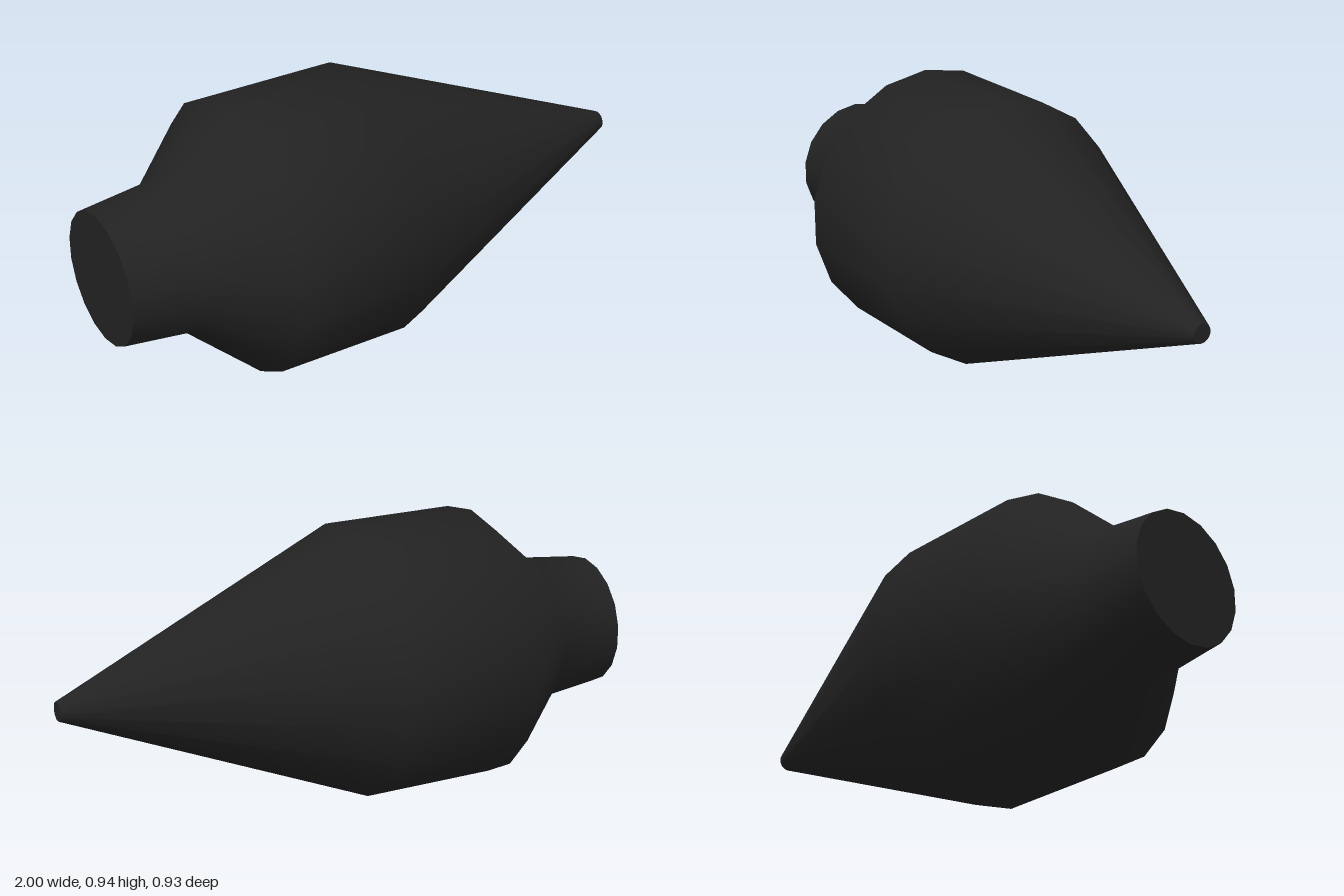
import * as THREE from 'three';

const SIDES = 18;
const AXIS_HEIGHT = 0.472;

// [radius, position along x] from the rear collar to the tip
const PROFILE = [
  [0.228, -1],
  [0.255, -0.76],
  [0.472, -0.52],
  [0.472, -0.04],
  [0.033, 1],
];

export function createModel() {
  const group = new THREE.Group();
  group.name = 'pointedTip';
  const material = new THREE.MeshStandardMaterial({ color: 0x222222 });

  const add = (name, geometry, x = 0) => {
    const mesh = new THREE.Mesh(geometry, material);
    mesh.name = name;
    mesh.position.set(x, AXIS_HEIGHT, 0);
    group.add(mesh);
  };

  // Turned body, laid along x with a corner at the top and bottom
  const points = PROFILE.map(([r, x]) => new THREE.Vector2(r, x));
  add('body', new THREE.LatheGeometry(points, SIDES, Math.PI / 2).rotateZ(-Math.PI / 2));

  // Flat end discs, facing outward
  const addCap = (name, [radius, x]) => {
    const disc = new THREE.CircleGeometry(radius, SIDES, Math.PI / 2);
    add(name, disc.rotateY(Math.sign(x) * Math.PI / 2), x);
  };
  addCap('rearCap', PROFILE[0]);
  addCap('tipCap', PROFILE[PROFILE.length - 1]);

  return group;
}
